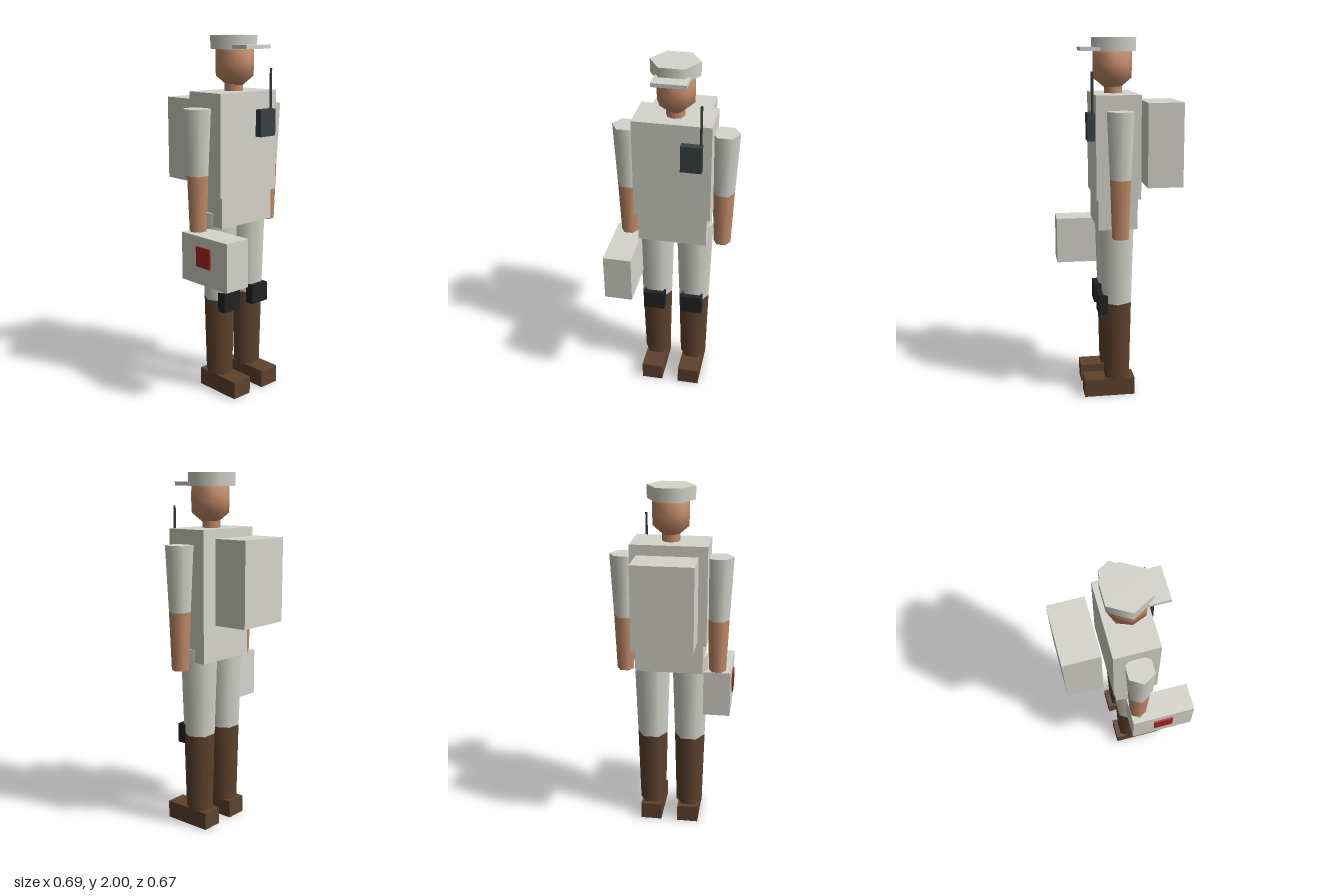
import * as THREE from 'three';

const CX = 0.005, CZ = 0.026; // body axis

export function createModel() {
  const model = new THREE.Group();
  model.name = 'fieldWorker';

  const mat = (name, color) => {
    const m = new THREE.MeshStandardMaterial({ color });
    m.name = name;
    return m;
  };
  const cloth = mat('offWhite', 0xd6d5cc);
  const skin = mat('skin', 0xc48d69);
  const leather = mat('brownLeather', 0x5f432d);
  const rubber = mat('blackRubber', 0x232323);
  const plastic = mat('darkGrey', 0x3a4244);
  const red = mat('red', 0xaa2a22);

  const add = (name, geometry, material) => {
    const m = new THREE.Mesh(geometry, material);
    m.name = name;
    model.add(m);
    return m;
  };
  // Box given by its extents
  const box = (name, material, x0, x1, y0, y1, z0, z1) =>
    add(name, new THREE.BoxGeometry(x1 - x0, y1 - y0, z1 - z0), material)
      .position.set((x0 + x1) / 2, (y0 + y1) / 2, (z0 + z1) / 2);
  // Tapered upright prism with its corners on the x axis
  const limb = (name, material, x, z, y0, y1, r0, r1, sides = 6) =>
    add(name, new THREE.CylinderGeometry(r1, r0, y1 - y0, sides, 1, false, Math.PI / 2), material)
      .position.set(x, (y0 + y1) / 2, z);

  // Trunk
  box('torso', cloth, -0.205, 0.215, 1.15, 1.705, -0.095, 0.147);
  box('hips', cloth, -0.185, 0.195, 0.98, 1.15, -0.08, 0.135);

  // Limbs, mirrored
  for (const [side, s] of [['left', 1], ['right', -1]]) {
    const ax = CX + s * 0.265, lx = CX + s * 0.11;
    limb(side + 'Sleeve', cloth, ax, CZ, 1.27, 1.625, 0.06, 0.077);
    limb(side + 'Forearm', skin, ax, CZ, 0.95, 1.27, 0.048, 0.06);
    limb(side + 'TrouserLeg', cloth, lx, CZ, 0.55, 1.055, 0.088, 0.104);
    limb(side + 'BootShaft', leather, lx, CZ, 0.095, 0.55, 0.077, 0.088);
    box(side + 'Foot', leather, lx - 0.061, lx + 0.061, 0, 0.1, -0.07, 0.215);
    box(side + 'KneePad', rubber, lx - 0.061, lx + 0.061, 0.49, 0.6, 0.083, 0.133);
  }

  // Neck and head
  limb('neck', skin, CX, CZ + 0.002, 1.69, 1.78, 0.05, 0.05, 8);
  const profile = [[0, 1.73], [0.045, 1.737], [0.103, 1.785], [0.106, 1.85], [0.105, 1.925], [0.07, 1.97], [0, 1.98]]
    .map(([r, y]) => new THREE.Vector2(r, y));
  const head = add('head', new THREE.LatheGeometry(profile, 8), skin);
  head.scale.set(0.96, 1, 1.02);
  head.position.set(CX + 0.003, 0, CZ + 0.006);

  // Cap
  limb('capCrown', cloth, CX, CZ, 1.927, 2, 0.13, 0.132);
  box('capBrim', cloth, -0.085, 0.095, 1.93, 1.95, 0.107, 0.215);

  // Chest radio with a three-sided aerial
  box('radio', plastic, 0.057, 0.17, 1.46, 1.608, 0.147, 0.187);
  limb('radioAerial', plastic, 0.16, 0.16, 1.608, 1.825, 0.008, 0.008, 3);

  // Backpack and carried case with a red side plate
  box('backpack', cloth, -0.16, 0.17, 1.2, 1.66, -0.337, -0.14);
  box('carryCase', cloth, -0.338, -0.184, 0.7, 0.965, -0.018, 0.335);
  box('casePlate', red, -0.3475, -0.338, 0.8, 0.91, 0.105, 0.213);

  return model;
}
